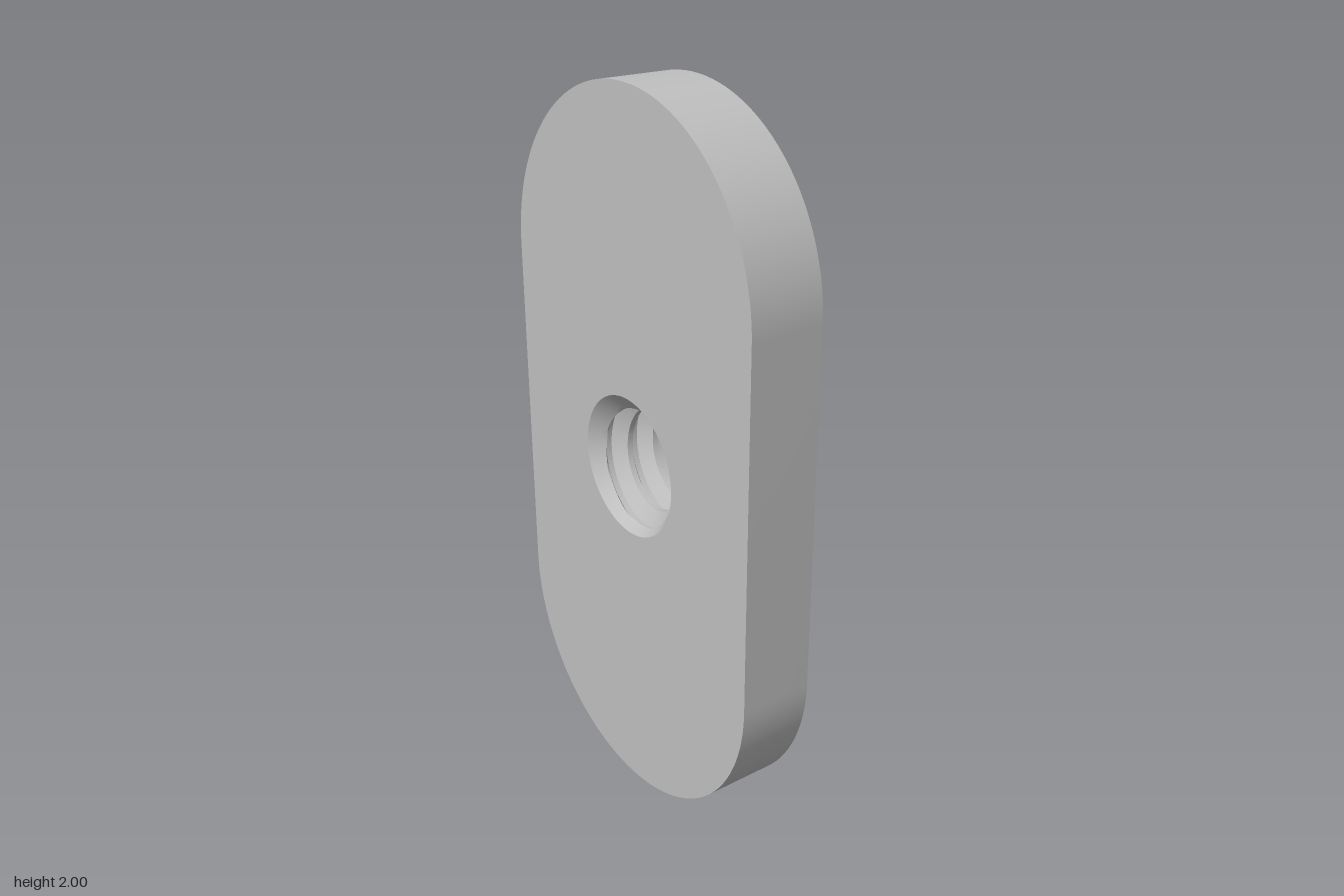
import * as THREE from 'three';
import { toCreasedNormals } from 'three/addons/utils/BufferGeometryUtils.js';

const BACK = -0.14, FACE = 0.07, END = 0.14; // stations along x
const MOUTH = 0.195, ROOT = 0.185, CREST = 0.143, PITCH = 0.085;
const CENTRE_Y = 1;

// Extrude a holed outline (drawn in -z, y) along x between two stations
function slab(shape, x0, x1) {
  shape.holes.push(new THREE.Path().absarc(0, CENTRE_Y, MOUTH, 0, Math.PI * 2, true));
  const geo = new THREE.ExtrudeGeometry(shape, { depth: x1 - x0, bevelEnabled: false, curveSegments: 48 });
  geo.translate(0, 0, x0);
  geo.rotateY(Math.PI / 2);
  return toCreasedNormals(geo, 0.5);
}

// Radius of the thread over one pitch, t in 0..1
function threadRadius(t) {
  const rise = THREE.MathUtils.clamp((Math.abs(t - 0.5) - 0.1) / 0.3, 0, 1);
  return THREE.MathUtils.lerp(CREST, ROOT, rise);
}

// Threaded hole with a countersink at both ends, facing inwards
function threadedBore() {
  const around = 96, perPitch = 20;
  const along = Math.ceil((END - BACK) / PITCH + 1) * perPitch;
  const pos = [], index = [];
  for (let i = 0; i <= around; i++) {
    const turn = i / around, a = turn * Math.PI * 2;
    for (let j = 0; j <= along; j++) {
      const raw = BACK + PITCH * (j / perPitch - 1 + turn);
      const x = THREE.MathUtils.clamp(raw, BACK, END);
      const sink = MOUTH - Math.min(x - BACK, END - x);
      const r = Math.max(threadRadius((j % perPitch) / perPitch), sink);
      pos.push(x, CENTRE_Y + r * Math.cos(a), r * Math.sin(a));
      if (i < around && j < along) {
        const p = i * (along + 1) + j, q = p + along + 1;
        index.push(p, p + 1, q, p + 1, q + 1, q);
      }
    }
  }
  const geo = new THREE.BufferGeometry();
  geo.setAttribute('position', new THREE.Float32BufferAttribute(pos, 3));
  geo.setIndex(index);
  return toCreasedNormals(geo, 0.5);
}

export function createModel() {
  const group = new THREE.Group();
  group.name = 'slotNut';
  const steel = new THREE.MeshStandardMaterial({ color: 0xbfbfbf });
  steel.name = 'steel grey';
  const add = (name, geo) => {
    const mesh = new THREE.Mesh(geo, steel);
    mesh.name = name;
    group.add(mesh);
  };

  // Rounded plate, leaning very slightly
  const radius = 0.505, lean = 0.005, tilt = -0.01;
  const outline = new THREE.Shape();
  outline.absarc(lean, 2 - radius, radius, tilt, Math.PI + tilt, false);
  outline.absarc(-lean, radius, radius, Math.PI + tilt, Math.PI * 2 + tilt, false);
  outline.closePath();
  add('plate', slab(outline, BACK, FACE));

  // Raised collar around the hole
  const ring = new THREE.Shape().absarc(0, CENTRE_Y, 0.23, 0, Math.PI * 2, false);
  add('collar', slab(ring, FACE, END));

  add('threadedBore', threadedBore());
  return group;
}
